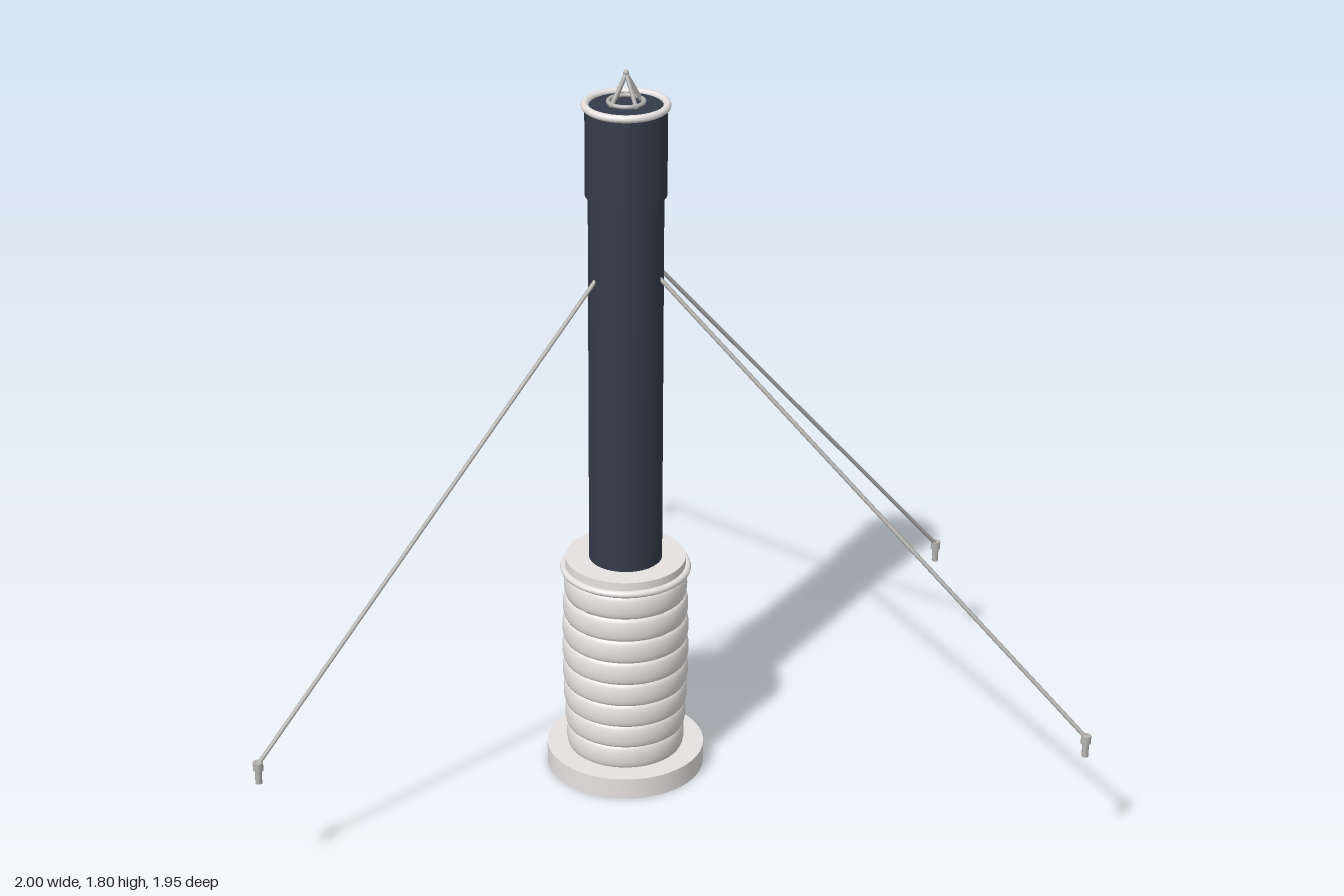
import * as THREE from 'three';

const material = (name, color) => {
  const m = new THREE.MeshStandardMaterial({ color, side: THREE.DoubleSide });
  m.name = name;
  return m;
};

export function createModel() {
  const model = new THREE.Group();
  model.name = 'guyedMast';
  const navy = material('darkNavy', 0x343c4a);
  const white = material('softWhite', 0xe6e2e1);
  const steel = material('lightSteel', 0xb4b2af);

  // The mast stands slightly off centre because the guy wires are uneven
  const mast = new THREE.Group();
  mast.name = 'mast';
  mast.position.x = 0.025;
  model.add(mast);

  const add = (parent, name, geometry, mat, y = 0) => {
    const mesh = new THREE.Mesh(geometry, mat);
    mesh.name = name;
    mesh.position.y = y;
    parent.add(mesh);
    return mesh;
  };
  const drum = (name, r, y0, y1, mat) =>
    add(mast, name, new THREE.CylinderGeometry(r, r, y1 - y0, 48), mat, (y0 + y1) / 2);
  const ring = (name, r, tube, y, mat) => {
    const g = new THREE.TorusGeometry(r, tube, 10, 48);
    g.rotateX(Math.PI / 2);
    return add(mast, name, g, mat, y);
  };
  const rod = (parent, name, a, b, r, mat) => {
    const dir = b.clone().sub(a);
    const mesh = add(parent, name, new THREE.CylinderGeometry(r, r, dir.length(), 8), mat);
    mesh.position.copy(a).add(b).multiplyScalar(0.5);
    mesh.quaternion.setFromUnitVectors(new THREE.Vector3(0, 1, 0), dir.normalize());
    return mesh;
  };

  // Base plate
  drum('basePlate', 0.192, 0, 0.054, white);

  // Bellows: one shallow scalloped rib per loop, barrel shaped overall
  const ribs = 8, bottom = 0.054, pitch = 0.059;
  for (let i = 0; i < ribs; i++) {
    const t = (i + 0.5) / ribs;
    const radius = 0.142 + 0.012 * Math.sin(Math.PI * Math.min(1, t * 0.85));
    const profile = [];
    for (let k = 0; k <= 8; k++) {
      const a = (k / 8) * Math.PI;
      profile.push(new THREE.Vector2(
        radius - 0.008 + 0.008 * Math.sin(a),
        bottom + pitch * (i + 0.5 - 0.5 * Math.cos(a))
      ));
    }
    add(mast, 'bellowsRib', new THREE.LatheGeometry(profile, 48), white);
  }

  // Clamp ring and top flange of the bellows
  ring('clampRing', 0.149, 0.009, 0.538, white);
  drum('bellowsFlange', 0.145, 0.526, 0.566, white);

  // Column and its wider head
  drum('column', 0.088, 0.55, 1.5, navy);
  drum('columnHead', 0.095, 1.497, 1.712, navy);
  ring('headLip', 0.094, 0.009, 1.713, white);

  // Conical wire cage on top
  ring('cageRing', 0.041, 0.005, 1.722, steel);
  const apex = new THREE.Vector3(0, 1.788, 0);
  for (let i = 0; i < 4; i++) {
    const a = i * Math.PI / 2;
    const foot = new THREE.Vector3(0.042 * Math.cos(a), 1.716, 0.042 * Math.sin(a));
    rod(mast, 'cageLeg', foot, apex, 0.005, steel);
  }
  add(mast, 'cageTip', new THREE.SphereGeometry(0.007, 12, 8), steel, 1.79);

  // Guy wires, each with a two-step end fitting
  const anchors = [[-0.988, 0], [0.988, 0], [0.665, 0.962], [0.665, -0.962]];
  for (const [x, z] of anchors) {
    const guy = new THREE.Group();
    guy.name = 'guyWire';
    model.add(guy);
    const out = new THREE.Vector2(x - 0.025, z).normalize().multiplyScalar(0.084);
    const start = new THREE.Vector3(0.025 + out.x, 1.302, out.y);
    rod(guy, 'wire', start, new THREE.Vector3(x, 0.32, z), 0.005, steel);
    const collar = add(guy, 'wireCollar', new THREE.CylinderGeometry(0.012, 0.012, 0.02, 16), steel, 0.316);
    const pin = add(guy, 'wirePin', new THREE.CylinderGeometry(0.008, 0.008, 0.036, 16), steel, 0.289);
    for (const part of [collar, pin]) {
      part.position.x = x;
      part.position.z = z;
    }
  }
  return model;
}
